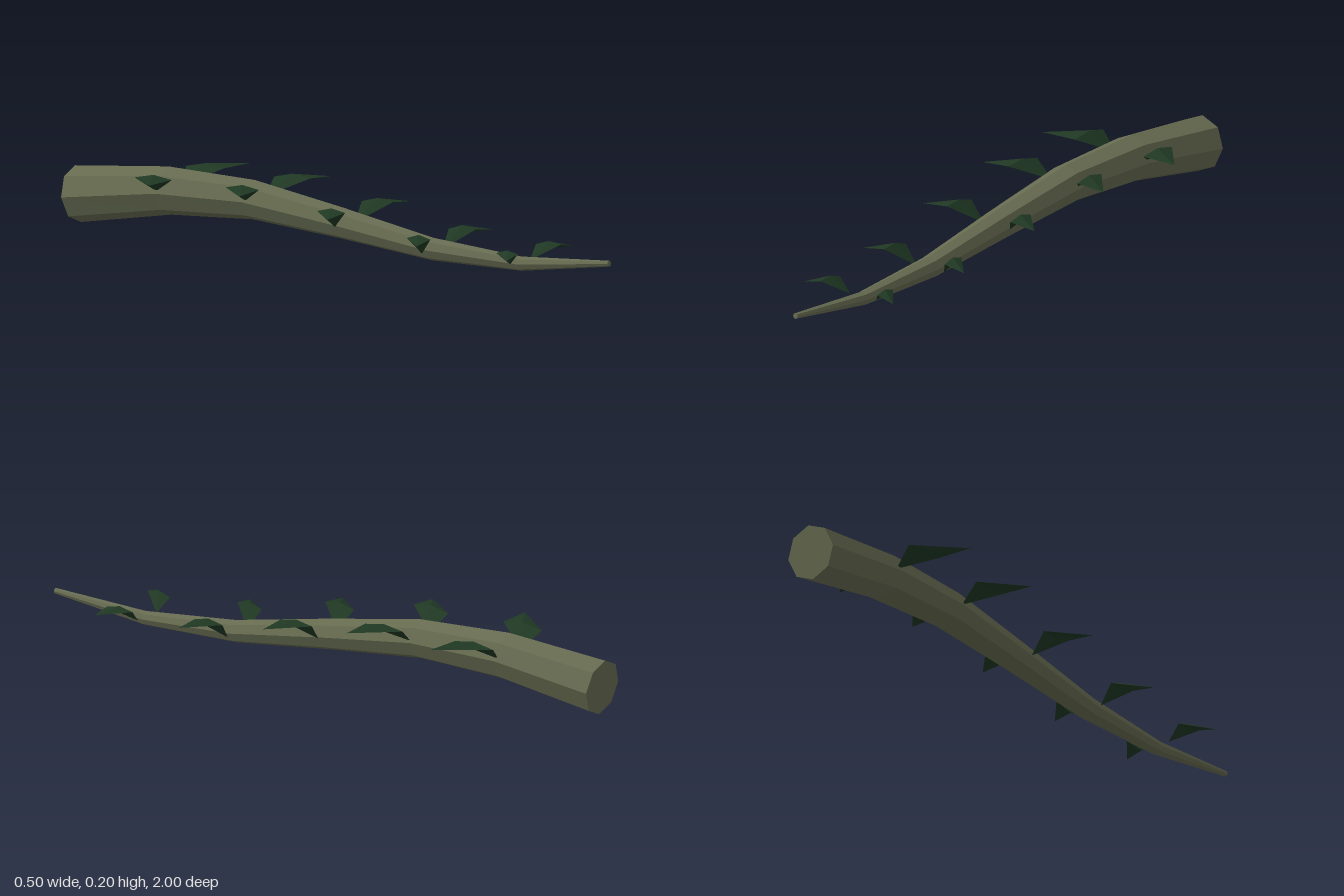
import * as THREE from 'three';

// Flat-shaded mesh from a list of triangles (each three Vector3)
function facetMesh(name, points, material) {
  const geometry = new THREE.BufferGeometry().setFromPoints(points);
  geometry.computeVertexNormals();
  const mesh = new THREE.Mesh(geometry, material);
  mesh.name = name;
  return mesh;
}

// Tapered eight-sided stem swept along a wavy centre line
function makeStem(material) {
  const SIDES = 8;
  const centres = [[0.088, -0.987], [0.132, -0.645], [0.136, -0.33], [0.098, 0],
    [0.053, 0.34], [0.042, 0.67], [0.075, 0.998]].map(([y, z]) => new THREE.Vector3(0, y, z));
  const last = centres.length - 1;
  const rings = centres.map((c, i) => {
    const t = centres[Math.min(i + 1, last)].clone().sub(centres[Math.max(i - 1, 0)]).normalize();
    const radius = THREE.MathUtils.lerp(0.086, 0.009, i / last);
    return Array.from({ length: SIDES }, (_, j) => {
      const a = (j / SIDES) * Math.PI * 2;
      const up = radius * Math.cos(a);
      return new THREE.Vector3(radius * Math.sin(a), c.y + up * t.z, c.z - up * t.y);
    });
  });
  const tris = [];
  for (let j = 0; j < SIDES; j++) {
    const k = (j + 1) % SIDES;
    for (let i = 0; i < last; i++) {
      const A = rings[i][j], B = rings[i][k], C = rings[i + 1][j], D = rings[i + 1][k];
      tris.push(A, C, B, B, C, D);
    }
    // end caps
    tris.push(centres[0], rings[0][j], rings[0][k]);
    tris.push(centres[last], rings[last][k], rings[last][j]);
  }
  return facetMesh('stem', tris, material);
}

// Thin bent leaf: base point, two wing points, tip, and a shallow ridge above and below
function makeLeaf(name, side, { base, back, front, tip, y }, material) {
  const v = ([x, z], h) => new THREE.Vector3(side * x, h, z);
  const [yBase, yTop, yLow, yTip] = y;
  const yMid = (yTop + yLow) / 2;
  const middle = [(back[0] + front[0]) / 2, (back[1] + front[1]) / 2];
  const rim = [v(base, yBase), v(front, yMid + 0.003), v(tip, yTip), v(back, yMid - 0.003)];
  const top = v(middle, yTop), low = v(middle, yLow);
  const tris = [];
  rim.forEach((p, i) => {
    const q = rim[(i + 1) % 4];
    if (side > 0) tris.push(top, p, q, low, q, p);
    else tris.push(top, q, p, low, p, q);
  });
  return facetMesh(name, tris, material);
}

export function createModel() {
  const stemGreen = new THREE.MeshStandardMaterial({ color: 0x666b50 });
  stemGreen.name = 'stem olive';
  const leafGreen = new THREE.MeshStandardMaterial({ color: 0x1f3823 });
  leafGreen.name = 'leaf dark green';

  const group = new THREE.Group();
  group.name = 'vine';
  group.add(makeStem(stemGreen));

  // Leaf corners as [x, z]; heights as base, ridge top, ridge bottom, tip
  const leaves = [
    { base: [0.06, -0.65], back: [0.13, -0.68], front: [0.13, -0.54], tip: [0.252, -0.535], y: [0.138, 0.201, 0.177, 0.192] },
    { base: [0.05, -0.325], back: [0.122, -0.345], front: [0.13, -0.215], tip: [0.23, -0.215], y: [0.14, 0.203, 0.18, 0.188] },
    { base: [0.05, 0.01], back: [0.112, -0.01], front: [0.12, 0.1], tip: [0.212, 0.1], y: [0.094, 0.163, 0.141, 0.146] },
    { base: [0.052, 0.337], back: [0.105, 0.32], front: [0.115, 0.415], tip: [0.192, 0.42], y: [0.046, 0.114, 0.09, 0.095] },
    { base: [0.05, 0.665], back: [0.1, 0.65], front: [0.108, 0.737], tip: [0.171, 0.74], y: [0.046, 0.099, 0.079, 0.079] },
  ];
  leaves.forEach((leaf, i) => {
    group.add(makeLeaf(`leftLeaf${i + 1}`, 1, leaf, leafGreen));
    group.add(makeLeaf(`rightLeaf${i + 1}`, -1, leaf, leafGreen));
  });
  return group;
}
